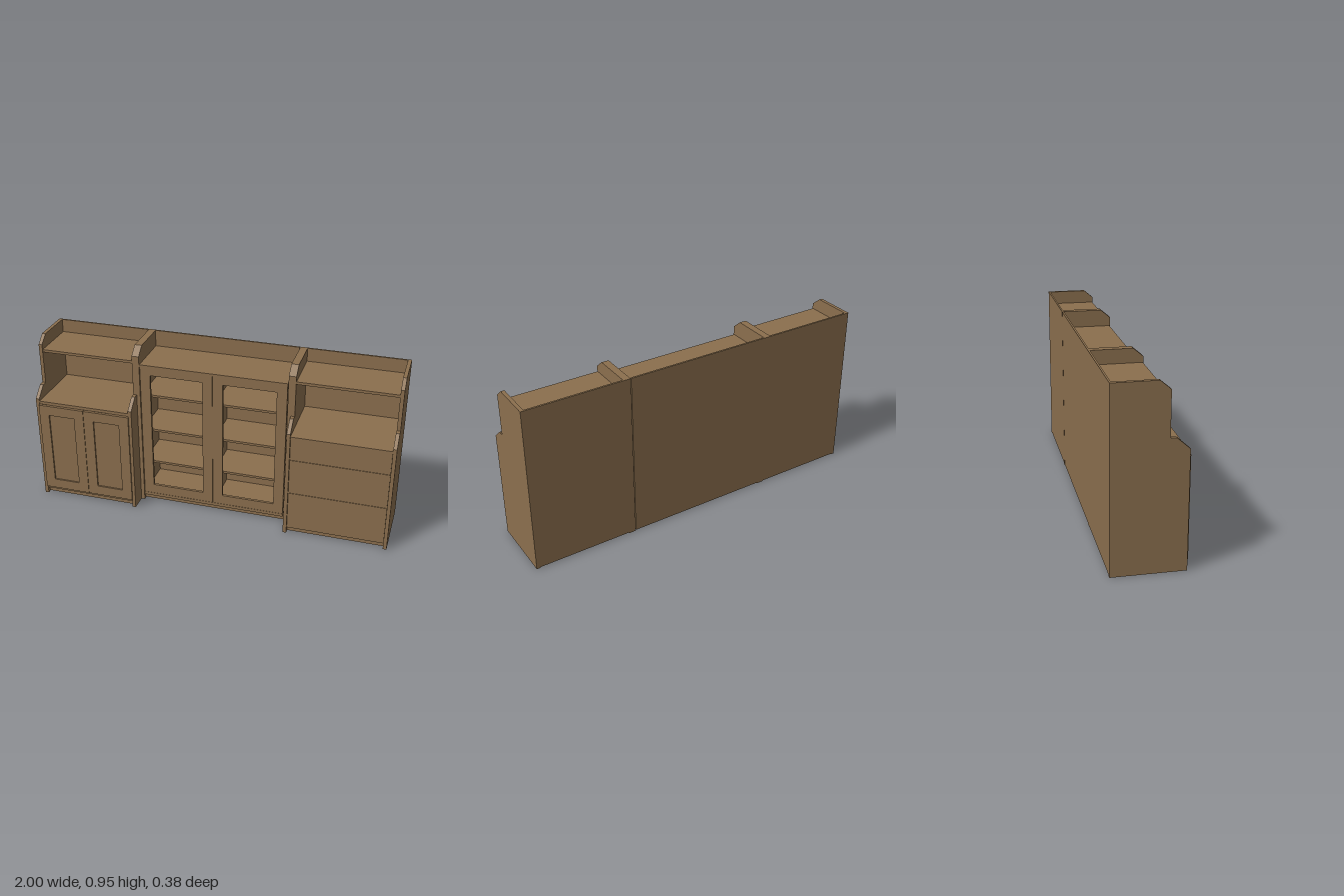
import * as THREE from 'three';

export function createModel() {
  const model = new THREE.Group();
  const wood = new THREE.MeshStandardMaterial({ color: 0x8b6f4e });
  wood.name = 'brown wood';
  const BACK = -0.19;

  // Box given by its limits on each axis
  function board(parent, name, x0, x1, y0, y1, z0, z1) {
    const mesh = new THREE.Mesh(new THREE.BoxGeometry(x1 - x0, y1 - y0, z1 - z0), wood);
    mesh.position.set((x0 + x1) / 2, (y0 + y1) / 2, (z0 + z1) / 2);
    mesh.name = name;
    parent.add(mesh);
  }

  // Upright panel with its top front corner cut off, profile in z and y
  function sidePanel(parent, name, x0, x1, y0, y1, front, cutZ, cutY) {
    const shape = new THREE.Shape([
      [BACK, y0], [front, y0], [front, cutY], [cutZ, y1], [BACK, y1],
    ].map(([z, y]) => new THREE.Vector2(-z, y)));
    const geo = new THREE.ExtrudeGeometry(shape, { depth: x1 - x0, bevelEnabled: false });
    geo.rotateY(Math.PI / 2);
    const mesh = new THREE.Mesh(geo, wood);
    mesh.position.x = x0;
    mesh.name = name;
    parent.add(mesh);
  }

  // Door frame with a rectangular opening
  function doorFrame(parent, name, x0, x1, y0, y1, z0, z1, rail) {
    const rect = (P, d) => new P([
      [x0 + d, y0 + d], [x1 - d, y0 + d], [x1 - d, y1 - d], [x0 + d, y1 - d],
    ].map(([x, y]) => new THREE.Vector2(x, y)));
    const shape = rect(THREE.Shape, 0);
    shape.holes.push(rect(THREE.Path, rail));
    const mesh = new THREE.Mesh(
      new THREE.ExtrudeGeometry(shape, { depth: z1 - z0, bevelEnabled: false }), wood);
    mesh.position.z = z0;
    mesh.name = name;
    parent.add(mesh);
  }

  // Stepped outer cabinet: deep base, shallow open hutch
  function sideUnit(name, x0, x1) {
    const unit = new THREE.Group();
    unit.name = name;
    const a = x0 + 0.02, b = x1 - 0.02;
    for (const [p, q] of [[x0, a], [b, x1]]) {
      sidePanel(unit, 'lowerSidePanel', p, q, 0, 0.675, 0.185, 0.12, 0.617);
      sidePanel(unit, 'upperSidePanel', p, q, 0.675, 0.95, 0.09, 0.037, 0.905);
    }
    board(unit, 'backBoard', a, b, 0.005, 0.95, BACK, -0.18);
    board(unit, 'plinth', a, b, 0.005, 0.03, -0.18, 0.165);
    board(unit, 'floorBoard', a, b, 0.03, 0.048, -0.18, 0.175);
    board(unit, 'counter', a, b, 0.585, 0.602, -0.18, 0.182);
    board(unit, 'topShelf', a, b, 0.86, 0.875, -0.18, 0.086);
    model.add(unit);
    return unit;
  }

  // Left-hand cabinet in the front view, with two panelled doors
  const doorUnit = sideUnit('doorCabinet', -1, -0.433);
  for (const [p, q] of [[-0.982, -0.717], [-0.715, -0.45]]) {
    doorFrame(doorUnit, 'doorFrame', p, q, 0.05, 0.582, 0.177, 0.193, 0.057);
    board(doorUnit, 'doorPanel', p + 0.055, q - 0.055, 0.105, 0.527, 0.177, 0.184);
  }

  // Opposite cabinet, with three drawers
  const drawerUnit = sideUnit('drawerCabinet', 0.43, 1);
  for (const [y0, y1] of [[0.05, 0.254], [0.256, 0.459], [0.461, 0.584]]) {
    board(drawerUnit, 'drawerFront', 0.451, 0.979, y0, y1, 0.16, 0.178);
  }

  // Middle display cabinet
  const centre = new THREE.Group();
  centre.name = 'displayCabinet';
  model.add(centre);
  const L = -0.413, R = 0.406;
  for (const [p, q] of [[-0.433, L], [0.41, 0.43]]) {
    sidePanel(centre, 'centreSidePanel', p, q, 0, 0.95, 0.09, 0.037, 0.905);
  }
  board(centre, 'backBoard', L, R, 0.005, 0.95, BACK, -0.18);
  board(centre, 'plinth', L, R, 0.005, 0.03, -0.18, 0.07);
  board(centre, 'floorBoard', L, R, 0.03, 0.048, -0.18, 0.083);
  board(centre, 'topBoard', L, R, 0.842, 0.857, -0.18, 0.085);
  board(centre, 'divider', -0.01, 0.005, 0.048, 0.842, -0.18, 0.068);
  for (const y of [0.24, 0.445, 0.658]) {
    board(centre, 'shelf', L, -0.01, y, y + 0.013, -0.18, 0.06);
    board(centre, 'shelf', 0.005, R, y, y + 0.013, -0.18, 0.06);
  }
  for (const [p, q] of [[-0.411, -0.003], [-0.001, 0.405]]) {
    doorFrame(centre, 'glazedDoorFrame', p, q, 0.05, 0.855, 0.069, 0.084, 0.056);
  }
  return model;
}
